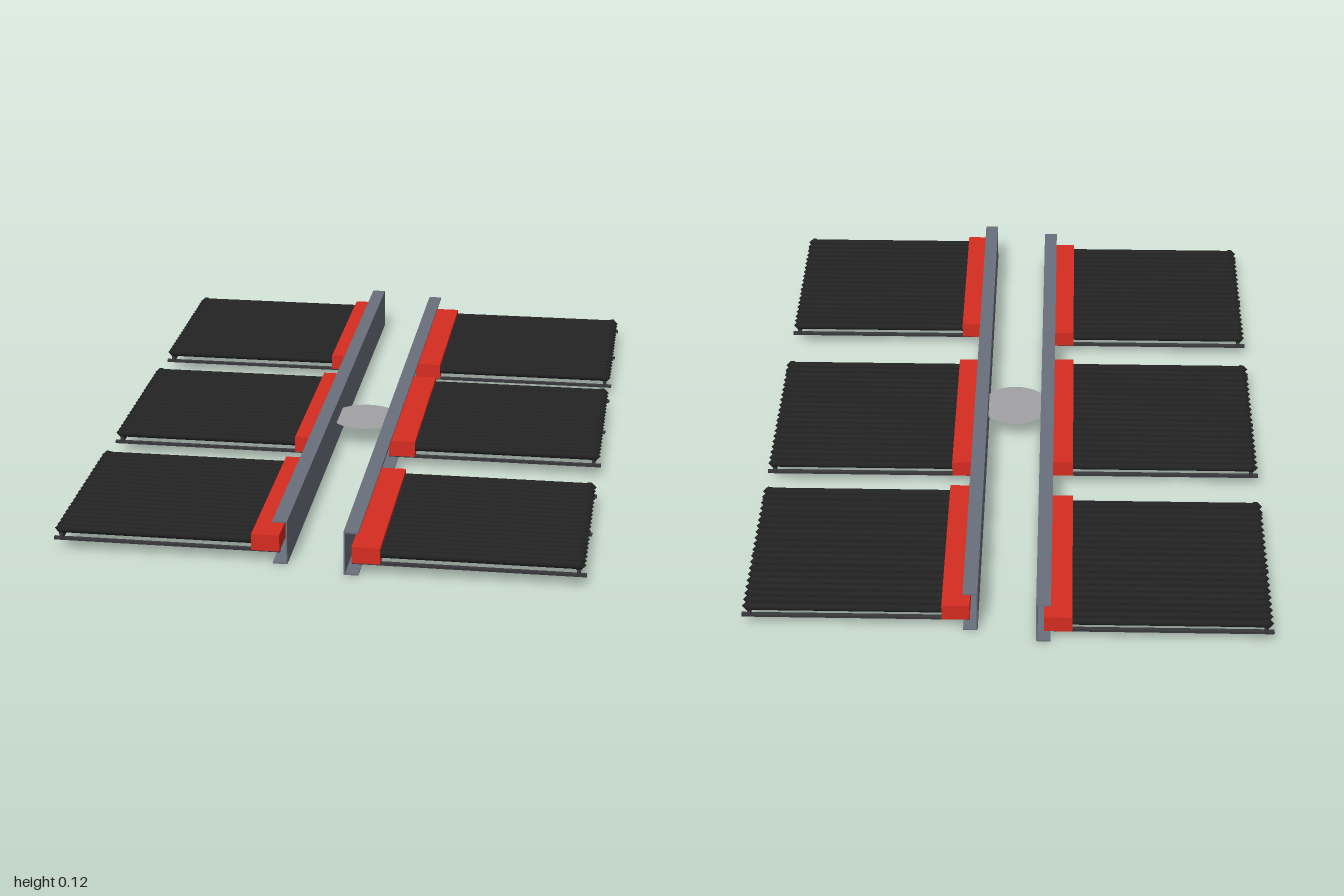
import * as THREE from 'three';
import { mergeGeometries } from 'three/addons/utils/BufferGeometryUtils.js';

const mat = (name, color, side = THREE.FrontSide) => {
  const m = new THREE.MeshStandardMaterial({ color, side });
  m.name = name;
  return m;
};

export function createModel() {
  const steel = mat('steel grey', 0x6a707c);
  const red = mat('red', 0xd62c20);
  const black = mat('tube black', 0x222222);
  const dark = mat('rail dark grey', 0x38383d);
  const plate = mat('plate grey', 0xa2a2a4, THREE.DoubleSide);

  const root = new THREE.Group();
  const LEN = 0.547, TUBES = 20;

  // box given by its limits
  const span = (x0, x1, y0, y1, z0, z1) =>
    new THREE.BoxGeometry(Math.abs(x1 - x0), y1 - y0, z1 - z0)
      .translate((x0 + x1) / 2, (y0 + y1) / 2, (z0 + z1) / 2);
  const add = (parent, name, geometry, material) => {
    const mesh = new THREE.Mesh(geometry, material);
    mesh.name = name;
    parent.add(mesh);
    return mesh;
  };

  // one tube with a swollen, pointed outer end
  const profile = [[0, 0.15], [0.0112, 0.15], [0.0112, 0.679], [0.0135, 0.681], [0.0135, 0.692], [0, 0.706]]
    .map(([r, h]) => new THREE.Vector2(r, h));
  const tube = new THREE.LatheGeometry(profile, 10);

  // one side: a C-shaped beam and three tube panels with red headers
  function buildSide(name, s, beam, starts) {
    const side = new THREE.Group();
    side.name = name;

    const [z0, z1] = beam;
    add(side, 'channelBeam', mergeGeometries([
      span(s * 0.077, s * 0.081, 0, 0.122, z0, z1),
      span(s * 0.081, s * 0.116, 0.118, 0.122, z0, z1),
      span(s * 0.081, s * 0.116, 0, 0.004, z0, z1),
    ]), steel);

    starts.forEach((a) => {
      const panel = new THREE.Group();
      panel.name = 'collectorPanel';
      panel.position.z = a;
      side.add(panel);

      add(panel, 'headerBox', span(s * 0.098, s * 0.173, 0.035, 0.081, 0, LEN), red);

      const pitch = LEN / TUBES;
      const tubes = [];
      for (let i = 0; i < TUBES; i++) {
        tubes.push(tube.clone().rotateZ(-s * Math.PI / 2).translate(0, 0.061, (i + 0.5) * pitch));
      }
      add(panel, 'tubes', mergeGeometries(tubes), black);

      // support rails across the beam, plus the crossbar at the outer ends
      const rails = [0.012, LEN / 2, LEN - 0.012].map((z) =>
        span(s * 0.098, s * 0.708, 0.03, 0.037, z - 0.006, z + 0.006));
      rails.push(span(s * 0.682, s * 0.692, 0.036, 0.052, 0.004, LEN - 0.004));
      add(panel, 'supportRails', mergeGeometries(rails), dark);
    });
    root.add(side);
    return side;
  }

  buildSide('leftSide', 1, [-0.957, 1], [-0.957, -0.298, 0.453]).position.x = -0.002;
  buildSide('rightSide', -1, [-1, 0.955], [-1, -0.291, 0.408]).position.x = -0.004;

  // thin round plate between the beams
  const disc = add(root, 'centrePlate',
    new THREE.CircleGeometry(0.1, 32).rotateX(-Math.PI / 2), plate);
  disc.position.set(-0.004, 0.065, 0.025);

  return root;
}
